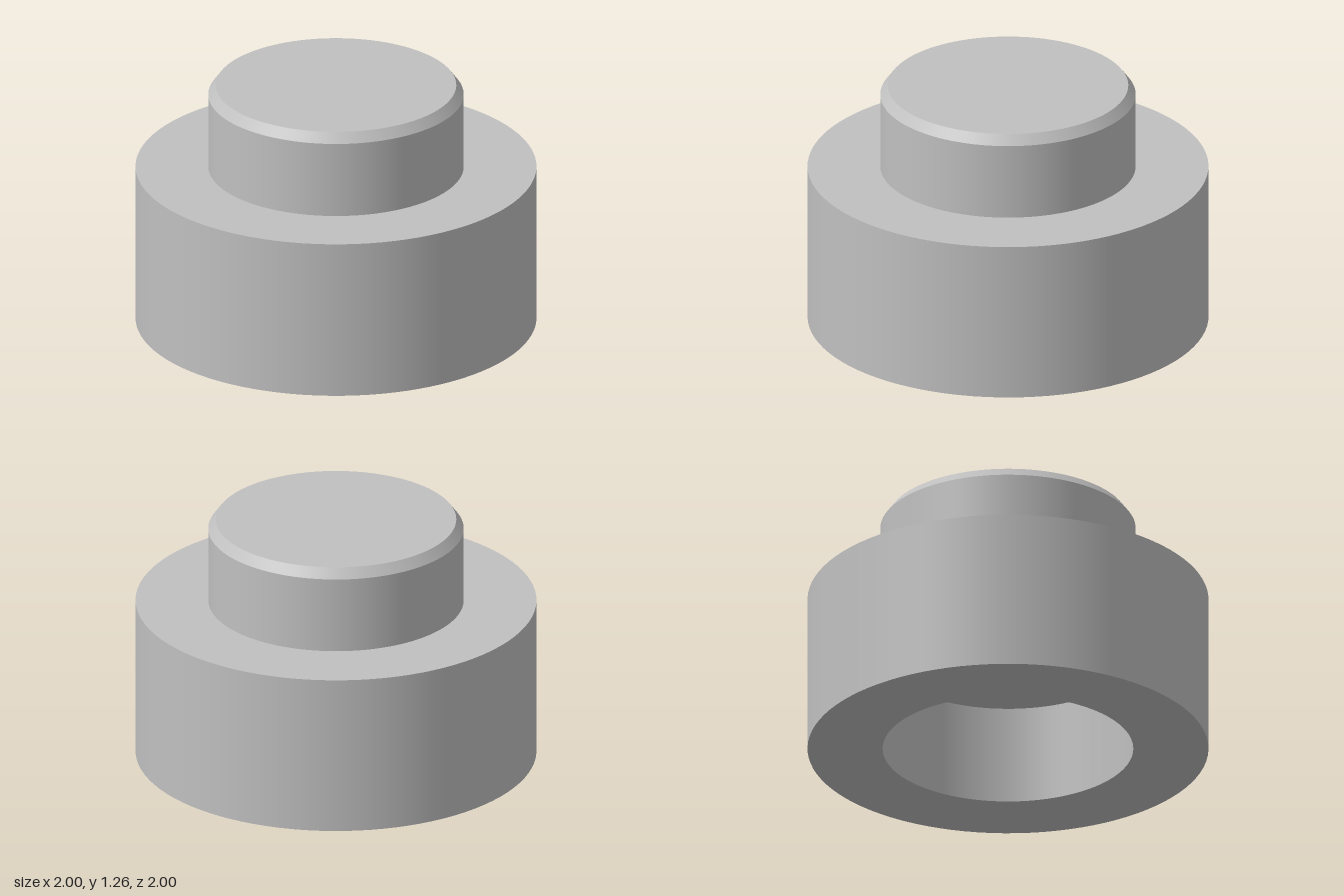
import * as THREE from 'three';

const SEGMENTS = 96;

export function createModel() {
  const model = new THREE.Group();
  model.name = 'steppedCap';

  const grey = new THREE.MeshStandardMaterial({ color: 0xc0c0c0 });
  grey.name = 'plain grey';

  // Each straight run of the profile is its own lathe, so the edges between stay sharp
  const addPart = (name, profile) => {
    const part = new THREE.Group();
    part.name = name;
    for (let i = 0; i < profile.length - 1; i++) {
      const ends = [profile[i], profile[i + 1]].map(([r, y]) => new THREE.Vector2(r, y));
      const face = new THREE.Mesh(new THREE.LatheGeometry(ends, SEGMENTS), grey);
      face.name = `${name}Face${i + 1}`;
      part.add(face);
    }
    model.add(part);
  };

  // Blind bore: flat floor, then the wall down to the underside
  addPart('bore', [[0, 0.51], [0.625, 0.51], [0.625, 0]]);
  // Wide body: underside ring, outer wall and shoulder
  addPart('body', [[0.625, 0], [1, 0], [1, 0.82], [0.637, 0.82]]);
  // Narrow boss: wall, chamfer and flat top
  addPart('boss', [[0.637, 0.82], [0.637, 1.21], [0.6, 1.26], [0, 1.26]]);

  return model;
}
